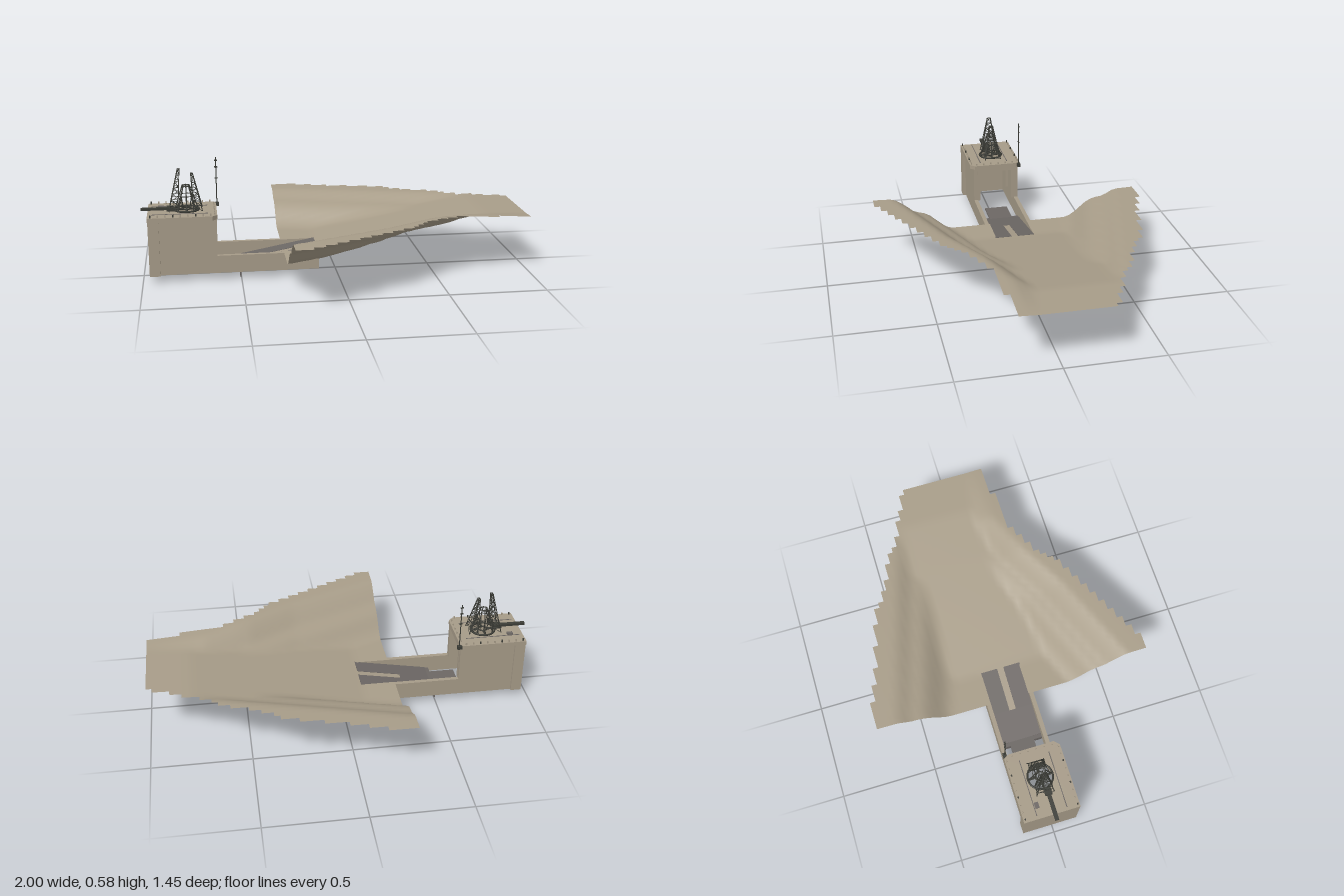
import * as THREE from 'three';

const mat = (name, color, side = THREE.FrontSide) => {
  const m = new THREE.MeshStandardMaterial({ color, side });
  m.name = name;
  return m;
};

// Piecewise-linear lookup through [x, y] pairs
const lookup = (pts, x) => {
  if (x <= pts[0][0]) return pts[0][1];
  for (let i = 1; i < pts.length; i++) {
    const [x0, y0] = pts[i - 1], [x1, y1] = pts[i];
    if (x <= x1) return y0 + (y1 - y0) * (x - x0) / (x1 - x0);
  }
  return pts[pts.length - 1][1];
};

export function createModel() {
  const model = new THREE.Group();
  const sand = mat('sand', 0xa89d89, THREE.DoubleSide);
  const wall = mat('wall beige', 0xa69b88);
  const grey = mat('ramp grey', 0x6c6764);
  const iron = mat('dark iron', 0x3c3d37);

  const add = (name, geo, material, parent = model) => {
    const m = new THREE.Mesh(geo, material);
    m.name = name;
    parent.add(m);
    return m;
  };
  // Box given by its lower and upper corner
  const box = (name, a, b, material, parent) => {
    const m = add(name, new THREE.BoxGeometry(b[0] - a[0], b[1] - a[1], b[2] - a[2]), material, parent);
    m.position.set((a[0] + b[0]) / 2, (a[1] + b[1]) / 2, (a[2] + b[2]) / 2);
    return m;
  };
  const strut = (name, a, b, r, parent, material = iron) => {
    const p = new THREE.Vector3(...a), q = new THREE.Vector3(...b);
    const m = add(name, new THREE.CylinderGeometry(r, r, p.distanceTo(q), 5), material, parent);
    m.position.copy(p).add(q).multiplyScalar(0.5);
    m.quaternion.setFromUnitVectors(new THREE.Vector3(0, 1, 0), q.sub(p).normalize());
    return m;
  };

  // ---- Valley terrain: sloping floor, terraced banks, stepped outline ----
  const farEdge = [[-0.28, 0.735], [-0.21, 0.735], [0, 0.67], [0.2, 0.61], [0.33, 0.575], [0.45, 0.505],
    [0.6, 0.435], [0.75, 0.35], [0.9, 0.29], [1, 0.24]];
  const nearEdge = [[-0.28, 0.725], [-0.2, 0.715], [0, 0.605], [0.2, 0.5], [0.33, 0.43], [0.42, 0.345],
    [0.55, 0.275], [0.63, 0.24], [0.8, 0.235], [0.83, 0.21], [1, 0.19]];
  const farShift = [[-0.28, 0], [0.2, 0.13], [0.75, 0.28], [1, 0.36]];
  const nearShift = [[-0.28, 0], [0.2, 0.2], [0.45, 0.34], [0.7, 0.44], [1, 0.45]];
  const floorLine = [[-0.1, 0.13], [0.5, 0.24], [0.78, 0.288], [1, 0.293]];
  const height = (x, z) => {
    const near = z > 0;
    const crest = near ? lookup([[0.5, 0.335], [1, 0.3]], x) : 0.28 + 0.01 * (x + 0.28);
    const bank = near
      ? [[0.31, 0.13], [0.36, 0.16], [0.42, 0.22], [0.46, 0.238], [0.5, 0.245], [0.55, 0.29], [0.61, crest - 0.004], [0.72, crest]]
      : [[0.34, 0.13], [0.38, 0.145], [0.46, 0.215], [0.5, 0.235], [0.56, 0.242], [0.62, crest - 0.003], [0.73, crest]];
    const s = Math.abs(z) + lookup(near ? nearShift : farShift, x);
    const low = lookup(floorLine, x);
    // Shifted banks only count beyond the floor strip
    return Math.max(low, lookup(bank, Math.abs(z) < 0.02 ? 0 : s));
  };
  const nx = 44, nz = 48, x0 = -0.28, z0 = -0.73, dx = 1.28 / nx, dz = 1.45 / nz;
  const pos = [], idx = [];
  for (let i = 0; i <= nx; i++) for (let j = 0; j <= nz; j++) {
    const x = x0 + i * dx, z = z0 + j * dz;
    // Light averaging rounds the bank edges
    const y = (2 * height(x, z) + height(x, z - 0.012) + height(x, z + 0.012)) / 4;
    pos.push(x, y, z);
  }
  for (let i = 0; i < nx; i++) for (let j = 0; j < nz; j++) {
    const x = x0 + (i + 0.5) * dx, z = z0 + (j + 0.5) * dz;
    if (z < -lookup(farEdge, x) || z > lookup(nearEdge, x)) continue;
    if (x < -0.105 && z > -0.126 && z < 0.09) continue; // opening over the ramp
    const a = i * (nz + 1) + j, b = a + 1, c = a + nz + 1, d = c + 1;
    idx.push(a, b, c, b, d, c);
  }
  const land = new THREE.BufferGeometry();
  land.setAttribute('position', new THREE.Float32BufferAttribute(pos, 3));
  land.setIndex(idx);
  land.computeVertexNormals();
  add('valleyTerrain', land, sand);

  // ---- Gatehouse: L-shaped side walls running out beside the ramp ----
  const house = new THREE.Group();
  house.name = 'gatehouse';
  model.add(house);
  const side = new THREE.Shape([[-0.95, 0.035], [-0.1, 0.035], [-0.1, 0.127], [-0.62, 0.127], [-0.62, 0.325], [-0.95, 0.325]]
    .map(p => new THREE.Vector2(...p)));
  for (const [z, name] of [[0.09, 'leftSideWall'], [-0.145, 'rightSideWall']]) {
    add(name, new THREE.ExtrudeGeometry(side, { depth: 0.022, bevelEnabled: false }), wall, house).position.z = z;
  }
  box('backWall', [-0.965, 0.035, -0.155], [-0.945, 0.325, 0.13], wall, house);
  for (const [za, zb] of [[0.088, 0.13], [-0.157, -0.123]]) {
    box('cornerPillar', [-0.965, 0.035, za], [-0.91, 0.325, zb], wall, house);
  }
  for (const x of [-0.8, -0.64]) for (const [za, zb] of [[0.075, 0.092], [-0.125, -0.108]]) {
    box('doorJamb', [x, 0.125, za], [x + 0.022, 0.32, zb], wall, house);
  }
  box('lintel', [-0.64, 0.3, -0.125], [-0.62, 0.322, 0.092], wall, house);

  // Roof slab with clipped corners and a round opening (shape y becomes -z)
  const roof = new THREE.Shape([[-0.967, -0.13], [-0.64, -0.13], [-0.615, -0.105], [-0.615, 0.135], [-0.63, 0.16], [-0.967, 0.16]]
    .map(p => new THREE.Vector2(...p)));
  const cx = -0.768, cz = -0.015;
  roof.holes.push(new THREE.Path().absarc(cx, -cz, 0.06, 0, Math.PI * 2, true));
  const roofGeo = new THREE.ExtrudeGeometry(roof, { depth: 0.022, bevelEnabled: false, curveSegments: 20 }).rotateX(-Math.PI / 2);
  add('roofSlab', roofGeo, wall, house).position.y = 0.32;
  for (const z of [-0.09, 0.065]) box('roofSeam', [-0.95, 0.342, z - 0.002], [-0.66, 0.344, z + 0.002], grey, house);
  box('roofHatch', [-0.915, 0.342, -0.085], [-0.885, 0.35, -0.065], grey, house);
  for (let i = 0; i < 9; i++) for (const z of [-0.15, 0.12]) {
    box('roofPost', [-0.955 + i * 0.038, 0.342, z - 0.003], [-0.948 + i * 0.038, 0.355, z + 0.003], i % 3 ? wall : iron, house);
  }
  for (let i = 0; i < 6; i++) box('roofPost', [-0.63, 0.342, -0.12 + i * 0.042], [-0.624, 0.353, -0.113 + i * 0.042], wall, house);

  // ---- Ramp rising toward the valley, platform and feet ----
  const ramp = new THREE.Group();
  ramp.name = 'ramp';
  model.add(ramp);
  const slope = (name, xa, xb, za, zb, material, drop = 0) => {
    const y = x => 0.06 + (x + 0.49) / 0.39 * 0.072 - drop;
    const s = new THREE.Shape([[xa, y(xa) - 0.006], [xb, y(xb) - 0.006], [xb, y(xb)], [xa, y(xa)]].map(p => new THREE.Vector2(...p)));
    add(name, new THREE.ExtrudeGeometry(s, { depth: zb - za, bevelEnabled: false }), material, ramp).position.z = za;
  };
  slope('lowerRamp', -0.49, -0.33, -0.124, 0.091, grey);
  slope('rampArm', -0.33, -0.1, -0.124, -0.035, grey);
  slope('rampArm', -0.33, -0.1, 0.0, 0.091, grey);
  slope('rampInfill', -0.33, -0.1, -0.035, 0.0, wall, 0.002);
  box('platform', [-0.64, 0.05, -0.085], [-0.49, 0.06, 0.045], grey, ramp);
  box('crossBeam', [-0.51, 0.035, -0.124], [-0.49, 0.056, 0.091], grey, ramp);
  for (const z of [0.072, -0.097]) box('foot', [-0.506, 0, z - 0.018], [-0.5, 0.036, z + 0.018], grey, ramp);

  // ---- Lattice tower over the roof opening ----
  const tower = new THREE.Group();
  tower.name = 'latticeTower';
  model.add(tower);
  for (const [r, y, t] of [[0.064, 0.347, 0.005], [0.022, 0.35, 0.004], [0.04, 0.42, 0.002], [0.02, 0.47, 0.003]]) {
    const ring = add('towerRing', new THREE.TorusGeometry(r, t, 6, 24), iron, tower);
    ring.rotation.x = Math.PI / 2;
    ring.position.set(cx, y, cz);
  }
  for (let i = 0; i < 8; i++) {
    const a = i * Math.PI / 4, c = Math.cos(a), s = Math.sin(a);
    const at = (r, y) => [cx + r * c, y, cz + r * s];
    if (i % 2 === 0) strut('spoke', at(0.02, 0.348), at(0.062, 0.348), 0.006, tower);
    strut('trunkLeg', at(0.06, 0.347), at(0.018, 0.475), 0.0028, tower);
    strut('trunkBrace', at(0.022, 0.35), at(0.04, 0.42), 0.002, tower);
  }
  // Leaning four-legged mast with rungs and diagonals
  const mast = (xBase, xTop, top, wBase, wTop) => {
    const corners = [[-1, -1], [1, -1], [1, 1], [-1, 1]], levels = 7;
    const at = (k, t) => {
      const w = wBase + (wTop - wBase) * t, [u, v] = corners[k % 4];
      return [xBase + (xTop - xBase) * t + u * w * 0.5, 0.345 + (top - 0.345) * t, cz + v * w];
    };
    for (let k = 0; k < 4; k++) {
      strut('mastLeg', at(k, 0), at(k, 1), 0.0024, tower);
      for (let l = 1; l <= levels; l++) {
        strut('mastRung', at(k, l / levels), at(k + 1, l / levels), 0.0016, tower);
        strut('mastDiagonal', at(k, (l - 1) / levels), at(k + 1, l / levels), 0.0014, tower);
      }
    }
  };
  mast(-0.835, -0.803, 0.56, 0.045, 0.009);
  mast(-0.71, -0.737, 0.535, 0.045, 0.009);

  // ---- Crane arm and slim antenna ----
  box('craneArm', [-1, 0.35, -0.012], [-0.83, 0.362, 0.008], iron);
  box('craneCounterweight', [-0.87, 0.344, -0.02], [-0.83, 0.366, 0.016], iron);
  strut('antenna', [-0.61, 0.32, -0.15], [-0.61, 0.585, -0.15], 0.0028, model);
  box('antennaBracket', [-0.625, 0.322, -0.16], [-0.6, 0.34, -0.142], iron);
  for (const y of [0.47, 0.53, 0.565]) box('antennaArm', [-0.618, y, -0.153], [-0.602, y + 0.005, -0.147], iron);

  return model;
}
